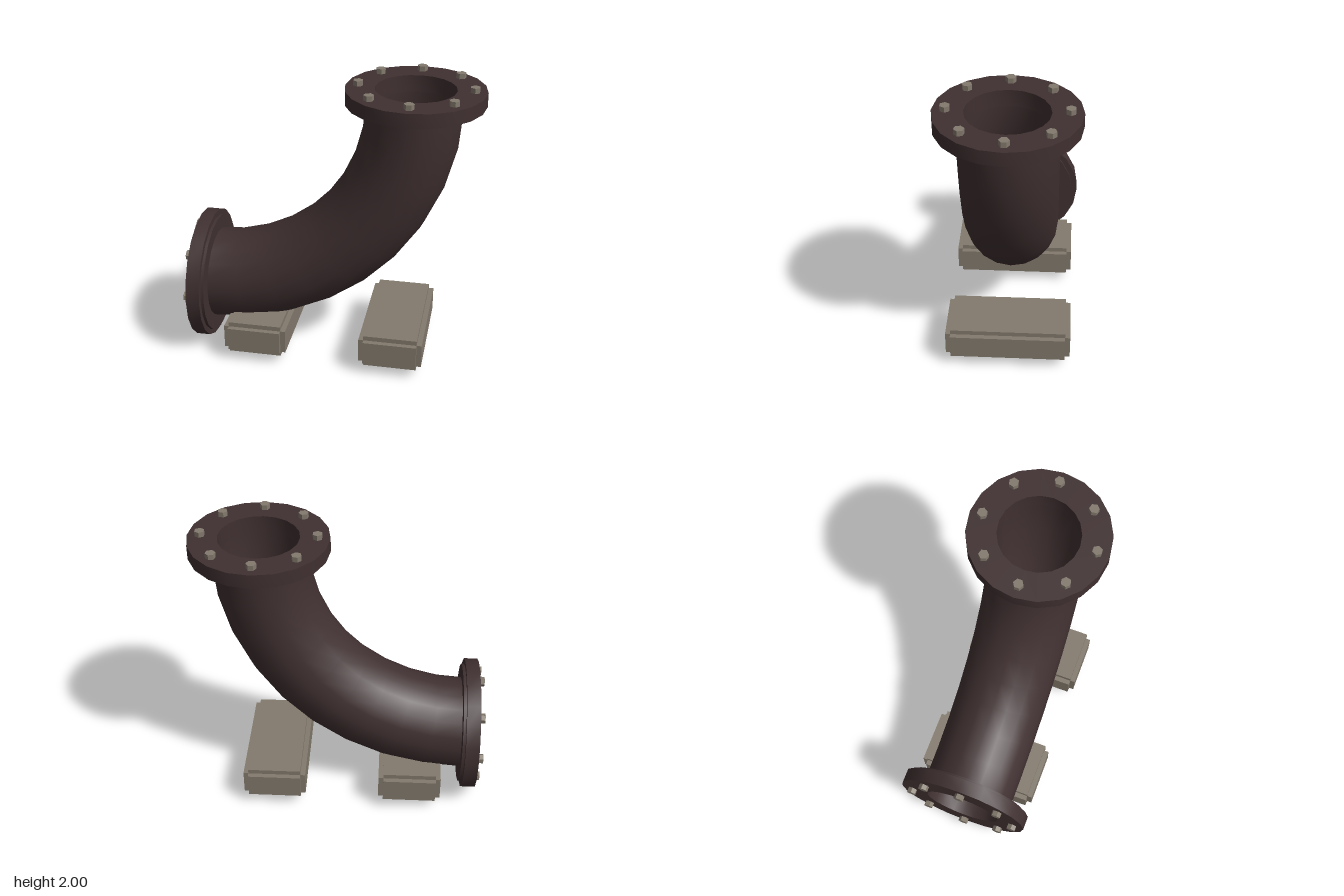
import * as THREE from 'three';
import { toCreasedNormals } from 'three/addons/utils/BufferGeometryUtils.js';

const iron = new THREE.MeshStandardMaterial({ color: 0x403031, side: THREE.DoubleSide });
iron.name = 'dark iron';
const stone = new THREE.MeshStandardMaterial({ color: 0x837a6d });
stone.name = 'grey stone';

const BEND = 1.4;                 // radius of the pipe's centre line
const CENTRE = [-0.87, 1.87];     // centre of the quarter bend

function add(parent, name, geometry, material, x = 0, y = 0, z = 0) {
  const mesh = new THREE.Mesh(geometry, material);
  mesh.name = name;
  mesh.position.set(x, y, z);
  parent.add(mesh);
  return mesh;
}

// Quarter bend running from the side flange up to the top flange
function bend(radius) {
  return new THREE.TorusGeometry(BEND, radius, 20, 9, Math.PI / 2).rotateZ(-Math.PI / 2);
}

// Stepped ring with eight bolts; its outer face points along +y
function makeFlange(name) {
  const flange = new THREE.Group();
  flange.name = name;
  const profile = [
    [0.268, 0], [0.425, 0], [0.425, 0.02], [0.464, 0.02],
    [0.464, 0.115], [0.268, 0.115], [0.268, 0],
  ].map(([r, y]) => new THREE.Vector2(r, y));
  add(flange, 'flangeRing', toCreasedNormals(new THREE.LatheGeometry(profile, 20), 0.6), iron);

  const boltShape = toCreasedNormals(new THREE.CylinderGeometry(0.034, 0.034, 0.045, 6), 0.3);
  for (let i = 0; i < 8; i++) {
    const a = (i * Math.PI) / 4;
    const bolt = add(flange, 'bolt', boltShape, stone, Math.cos(a) * 0.38, 0.1275, Math.sin(a) * 0.38);
    bolt.rotation.y = -a;
  }
  return flange;
}

// Support block with a small rebate cut along every edge
function makeBlock(x) {
  const block = new THREE.Group();
  block.name = 'supportBlock';
  block.position.set(x, 0.173, 0);
  const size = [0.44, 0.236, 0.86];
  const cut = [0.07, 0.066, 0.07];
  for (let axis = 0; axis < 3; axis++) {
    const dims = size.map((s, i) => (i === axis ? s : s - cut[i]));
    add(block, 'blockCore', new THREE.BoxGeometry(...dims), stone);
  }
  return block;
}

export function createModel() {
  const model = new THREE.Group();
  model.name = 'pipeElbow';

  add(model, 'pipeOuterWall', bend(0.322), iron, ...CENTRE);
  add(model, 'pipeInnerWall', bend(0.275), iron, ...CENTRE);

  const top = makeFlange('topFlange');
  top.position.set(0.535, 1.85, 0);
  const side = makeFlange('sideFlange');
  side.position.set(-0.85, 0.465, 0);
  side.rotation.z = Math.PI / 2;
  model.add(top, side);

  for (const x of [-0.5, 0.46]) model.add(makeBlock(x));
  return model;
}
